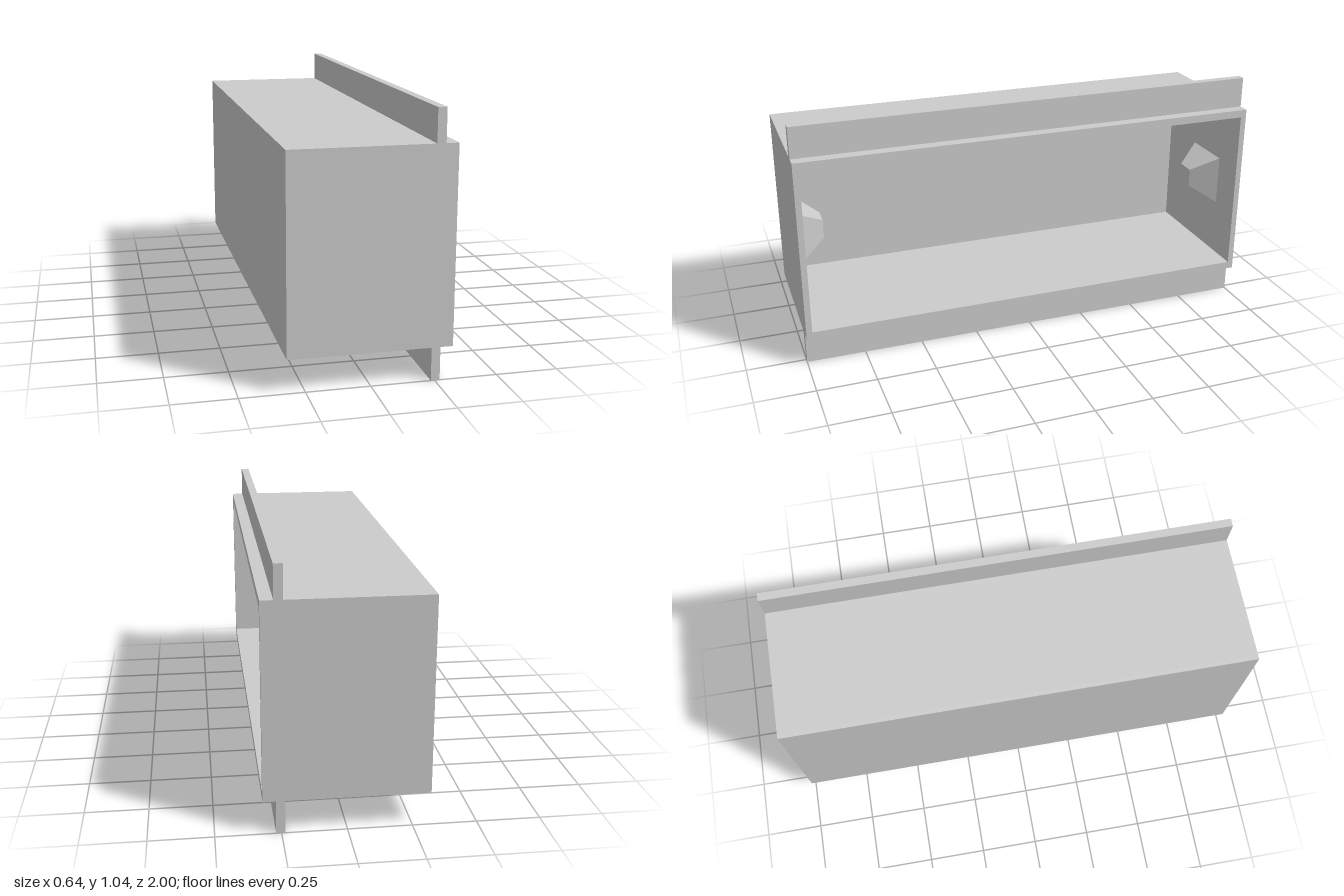
import * as THREE from 'three';

const W = 0.64, H = 0.78, L = 2, MID_Y = 0.522;
const WALL_Y = 0.033, WALL_Z = 0.025, BACK = 0.016;

export function createModel() {
  const model = new THREE.Group();
  const material = new THREE.MeshStandardMaterial({ color: 0xcccccc, flatShading: true });

  const add = (name, geometry, x, y, z) => {
    const mesh = new THREE.Mesh(geometry, material);
    mesh.name = name;
    mesh.position.set(x, y, z);
    model.add(mesh);
    return mesh;
  };

  const rectangle = (target, w, h) => target
    .moveTo(-w / 2, -h / 2).lineTo(w / 2, -h / 2)
    .lineTo(w / 2, h / 2).lineTo(-w / 2, h / 2).closePath();

  // Four walls around the opening, which faces +x
  const frame = rectangle(new THREE.Shape(), L, H);
  frame.holes.push(rectangle(new THREE.Path(), L - 2 * WALL_Z, H - 2 * WALL_Y));
  const walls = new THREE.ExtrudeGeometry(frame, { depth: W - BACK, bevelEnabled: false });
  walls.rotateY(Math.PI / 2);
  add('housingWalls', walls, -W / 2 + BACK, MID_Y, 0);

  // Closed side
  add('backPanel', new THREE.BoxGeometry(BACK, H, L), -W / 2 + BACK / 2, MID_Y, 0);

  // Flanges running along the top and bottom near the opening
  const flangeH = MID_Y - H / 2;
  for (const [name, side] of [['topFlange', 1], ['bottomFlange', -1]]) {
    add(name, new THREE.BoxGeometry(0.035, flangeH, L),
      0.253, MID_Y + side * (H + flangeH) / 2, 0);
  }

  // Tapered studs on the inside of both end walls
  const studH = 0.11;
  for (const [name, side] of [['frontStud', 1], ['rearStud', -1]]) {
    const stud = new THREE.CylinderGeometry(0.04 * Math.SQRT2, 0.11 * Math.SQRT2, studH, 4);
    stud.rotateY(Math.PI / 4);
    stud.rotateX(-side * Math.PI / 2);
    stud.scale(1.06, 1, 1);
    add(name, stud, 0.055, MID_Y, side * (L / 2 - WALL_Z - studH / 2));
  }

  return model;
}
